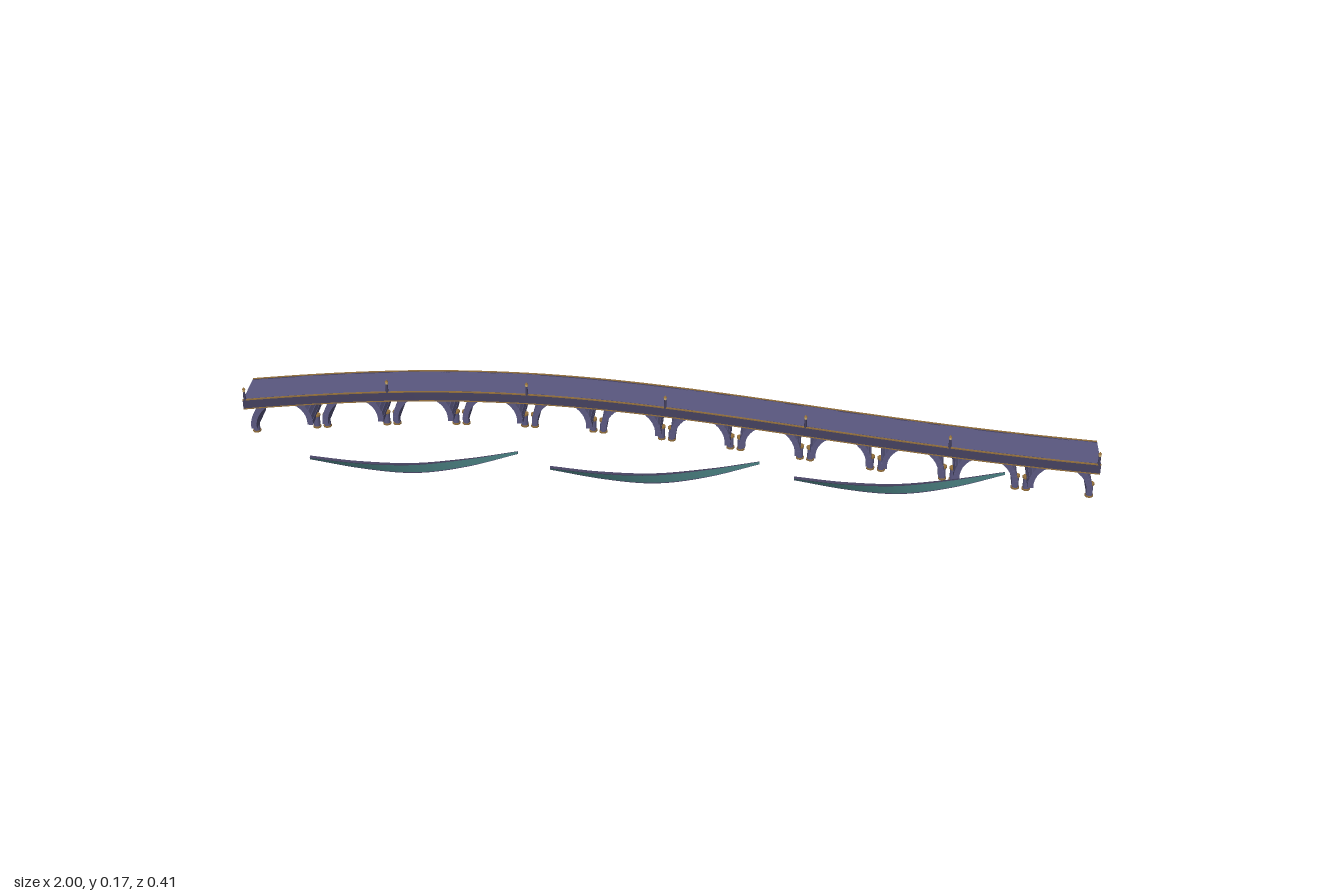
import * as THREE from 'three';

const mat = (name, color) => {
  const m = new THREE.MeshStandardMaterial({ color });
  m.name = name;
  return m;
};

// Plan curve and gentle rise of the deck along x
const midZ = x => -0.153 + 0.12 * (1 - Math.cos(1.75 * (x + 0.33)));
const topY = x => 0.1225 - 0.0095 * Math.cos(3.1 * (x - 0.42));

// Joins equal rings of points into a closed, capped solid
function loft(rings) {
  const pos = [], n = rings[0].length;
  const tri = (...pts) => pts.forEach(p => pos.push(p.x, p.y, p.z));
  for (let i = 0; i < rings.length - 1; i++) {
    for (let j = 0; j < n; j++) {
      const k = (j + 1) % n, a = rings[i], b = rings[i + 1];
      tri(a[j], a[k], b[k]);
      tri(a[j], b[k], b[j]);
    }
  }
  const s = rings[0], e = rings[rings.length - 1];
  for (let j = 1; j < n - 1; j++) {
    tri(s[0], s[j + 1], s[j]);
    tri(e[0], e[j], e[j + 1]);
  }
  const g = new THREE.BufferGeometry();
  g.setAttribute('position', new THREE.Float32BufferAttribute(pos, 3));
  g.computeVertexNormals();
  return g;
}

// Rectangular strip that follows the deck; z and y are relative to its centre and top
function deckStrip(z0, z1, y0, y1, xa = -1, xb = 1, steps = 60) {
  const rings = [];
  for (let i = 0; i <= steps; i++) {
    const x = xa + (xb - xa) * i / steps, z = midZ(x), y = topY(x);
    rings.push([[z0, y1], [z1, y1], [z1, y0], [z0, y0]]
      .map(([dz, dy]) => new THREE.Vector3(x, y + dy, z + dz)));
  }
  return loft(rings);
}

export function createModel() {
  const slate = mat('slate stone', 0x5a5880);
  const dark = mat('dark stone', 0x45415f);
  const gold = mat('bronze trim', 0x94703c);
  const teal = mat('teal', 0x3f6f70);
  const glow = mat('lamp cream', 0xd8b878);

  const model = new THREE.Group();
  const add = (parent, name, geometry, material, x = 0, y = 0, z = 0) => {
    const m = new THREE.Mesh(geometry, material);
    m.name = name;
    m.position.set(x, y, z);
    parent.add(m);
    return m;
  };
  const group = name => {
    const g = new THREE.Group();
    g.name = name;
    model.add(g);
    return g;
  };

  // Deck: thin road slab, side beams and edge trims
  const deck = group('deck');
  add(deck, 'roadway', deckStrip(-0.048, 0.048, -0.007, 0), slate);
  for (const s of [-1, 1]) {
    const span = (a, b) => s > 0 ? [a, b] : [-b, -a];
    add(deck, 'sideBeam', deckStrip(...span(0.045, 0.0515), -0.024, 0), dark);
    add(deck, 'topTrim', deckStrip(...span(0.0495, 0.0525), -0.001, 0.002), gold);
    add(deck, 'bottomTrim', deckStrip(...span(0.0495, 0.0525), -0.025, -0.0225), gold);
    const x = s * 0.992;
    add(deck, 'endBeam', deckStrip(-0.045, 0.045, -0.014, -0.007, x - 0.005, x + 0.005, 1), teal);
  }

  // Twelve barrel arches of stepped blocks, with a column under each springing
  const spans = 12, pitch = 2 / spans, blocks = 17, radius = 0.0655;
  const block = new THREE.BoxGeometry(0.0135, 0.0125, 0.092);
  const shaft = new THREE.CylinderGeometry(0.0075, 0.0082, 0.034, 10);
  const plinth = new THREE.CylinderGeometry(0.0098, 0.0098, 0.004, 10);
  for (let i = 0; i < spans; i++) {
    const cx = -1 + pitch * (i + 0.5);
    const arch = group('arch');
    for (let b = 0; b < blocks; b++) {
      const a = Math.PI * b / (blocks - 1);
      const x = cx + radius * Math.cos(a);
      const y = topY(x) - 0.077 + radius * Math.sin(a);
      add(arch, 'archBlock', block, slate, x, y, midZ(x)).rotation.z = a;
    }
    for (const s of [-1, 1]) {
      const x = cx + s * 0.071, foot = topY(x) - 0.113;
      const column = group('column');
      column.position.set(x, foot, midZ(x) + 0.004);
      add(column, 'shaft', shaft, slate, 0, 0.017, 0);
      add(column, 'base', plinth, gold, 0, 0.002, 0);
      add(column, 'capital', plinth, gold, 0, 0.033, 0);
    }
  }

  // Seven lamp posts along the front edge
  const post = new THREE.CylinderGeometry(0.0025, 0.0035, 0.022, 8);
  const lamp = new THREE.CylinderGeometry(0.0036, 0.003, 0.006, 8);
  const cap = new THREE.ConeGeometry(0.0042, 0.006, 8);
  for (let i = 0; i < 7; i++) {
    const x = -0.995 + 1.99 * i / 6;
    const lantern = group('lampPost');
    lantern.position.set(x, topY(x), midZ(x) + 0.05);
    add(lantern, 'post', post, dark, 0, 0.011, 0);
    add(lantern, 'lamp', lamp, glow, 0, 0.025, 0);
    add(lantern, 'cap', cap, gold, 0, 0.031, 0);
  }

  // Three sagging, tapered ribbons in front of the bridge
  const path = new THREE.CatmullRomCurve3([
    [-0.235, 0.114, 0.196], [-0.12, 0.094, 0.186], [0, 0.084, 0.174],
    [0.12, 0.096, 0.16], [0.235, 0.122, 0.15],
  ].map(p => new THREE.Vector3(...p)));
  const steps = 36;
  // Strip of the ribbon between two heights (-1..1) and two depths
  const ribbonStrip = (h0, h1, d0, d1) => {
    const rings = [];
    for (let i = 0; i <= steps; i++) {
      const t = i / steps, p = path.getPoint(t);
      const half = 0.003 + 0.0085 * Math.sin(Math.PI * t);
      const twist = 0.45 * Math.cos(Math.PI * t);
      rings.push([[d0, h1], [d1, h1], [d1, h0], [d0, h0]].map(([d, h]) => {
        const y = h * half, c = Math.cos(twist), s = Math.sin(twist);
        return new THREE.Vector3(p.x, p.y + y * c - d * s, p.z + y * s + d * c);
      }));
    }
    return loft(rings);
  };
  const body = ribbonStrip(-0.9, 0.9, -0.003, 0.001);
  const face = ribbonStrip(-0.85, 0.85, 0.001, 0.003);
  const edges = [ribbonStrip(0.85, 1, -0.003, 0.0035), ribbonStrip(-1, -0.85, -0.003, 0.0035)];
  for (const x of [-0.553, -0.003, 0.547]) {
    const ribbon = group('ribbon');
    ribbon.position.x = x;
    add(ribbon, 'ribbonBack', body, slate);
    add(ribbon, 'ribbonFace', face, teal);
    edges.forEach(e => add(ribbon, 'ribbonEdge', e, dark));
  }

  return model;
}
